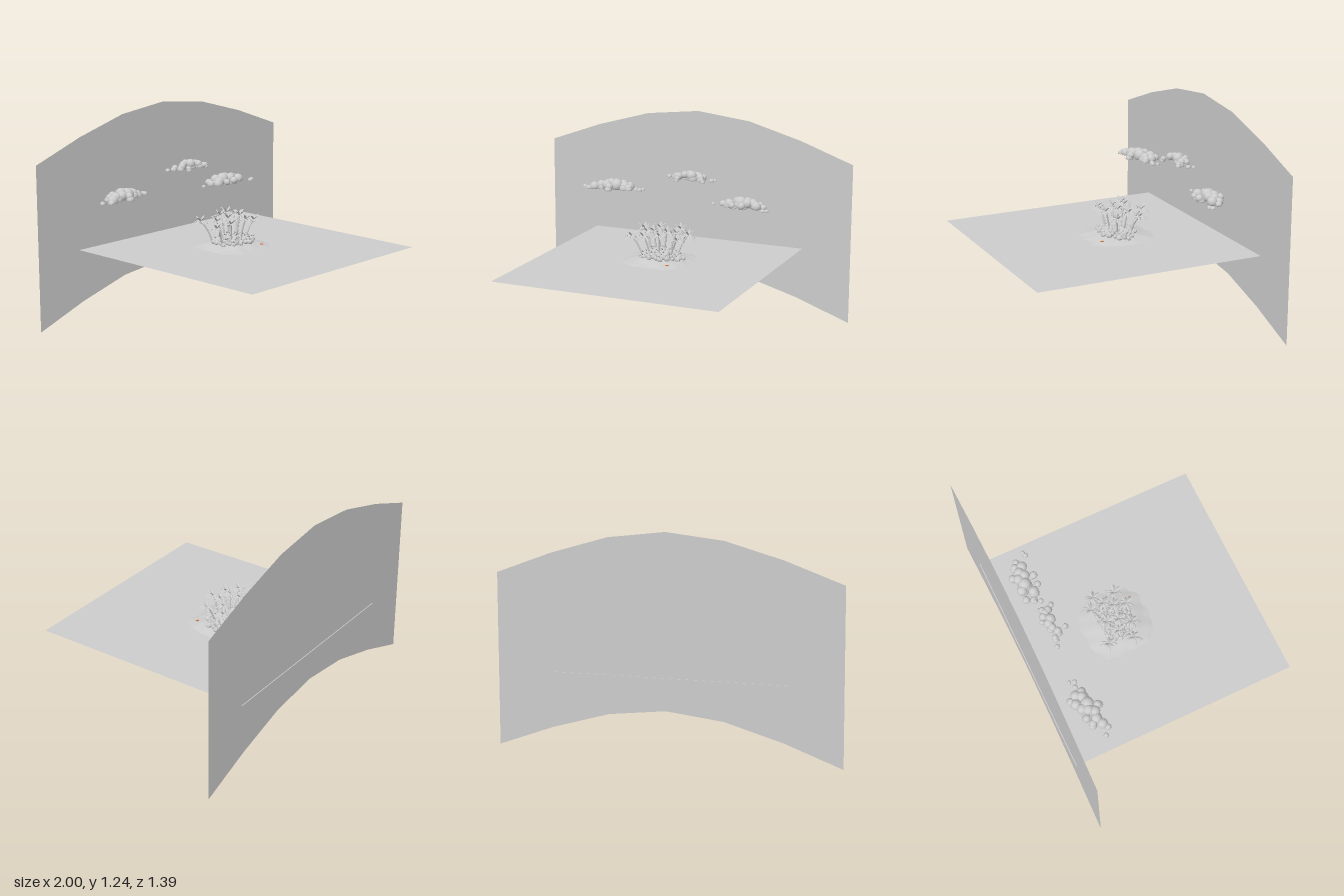
import * as THREE from 'three';
import { mergeGeometries } from 'three/addons/utils/BufferGeometryUtils.js';

const grey = new THREE.MeshStandardMaterial({ color: 0xcccccc, flatShading: true });
const sheet = new THREE.MeshStandardMaterial({ color: 0xcccccc, side: THREE.DoubleSide });
const leafy = new THREE.MeshStandardMaterial({ color: 0xcccccc, side: THREE.DoubleSide, flatShading: true });
const orange = new THREE.MeshStandardMaterial({ color: 0xe07030 });

let seed = 7;
const rand = (a = 0, b = 1) => {
  seed = (seed * 16807) % 2147483647;
  return a + (b - a) * seed / 2147483647;
};

function part(name, geometry, material, parent) {
  const m = new THREE.Mesh(geometry, material);
  m.name = name;
  parent.add(m);
  return m;
}

// Moves every vertex through a rule
function reshape(geo, rule) {
  const p = geo.attributes.position, v = new THREE.Vector3();
  for (let i = 0; i < p.count; i++) {
    rule(v.fromBufferAttribute(p, i));
    p.setXYZ(i, v.x, v.y, v.z);
  }
  geo.computeVertexNormals();
  return geo;
}

// Island height: a rounded-square mound on a nearly flat skirt
const CX = 0.0, CZ = -0.115;
function ground(x, z) {
  const d = Math.pow(Math.abs(x - CX) ** 3 + Math.abs(z - CZ) ** 3, 1 / 3);
  const t = Math.max(0, 1 - d / 0.27);
  const ripple = 0.0012 * (Math.sin(x * 61 + z * 23) + Math.sin(z * 71 - x * 37));
  return 0.429 + 0.048 * t * t * (3 - 2 * t) + ripple;
}

// One drooping, folded palm leaf pointing along +z
function frond(length, width, rise, droop) {
  const g = new THREE.PlaneGeometry(1, 1, 2, 5).rotateX(Math.PI / 2);
  return reshape(g, v => {
    const t = v.z + 0.5, side = v.x * 2;
    const w = width * Math.pow(Math.sin(Math.PI * (0.08 + 0.9 * t)), 0.8);
    v.set(side * w / 2, rise * t - droop * t * t - Math.abs(side) * w * 0.3, length * t);
  });
}

// A ring of leaves merged into one geometry
function leafRing(count, size) {
  const leaves = [];
  for (let i = 0; i < count; i++) {
    const inner = i % 3 === 0;
    const leaf = frond(size * rand(0.85, 1.1) * (inner ? 0.75 : 1), size * 0.27,
      size * (inner ? 1.1 : rand(0.4, 0.75)), size * (inner ? 0.5 : rand(0.8, 1.2)));
    leaves.push(leaf.rotateY(i / count * Math.PI * 2 + rand(-0.2, 0.2)));
  }
  return mergeGeometries(leaves);
}

// Leaning palm: curved trunk, crown and coconuts
function palm(x, z, y, parent) {
  const g = new THREE.Group();
  g.name = 'palmTree';
  const bx = CX + (x - CX) * 0.62, bz = CZ + (z - CZ) * 0.62;
  const foot = new THREE.Vector3(bx, ground(bx, bz) - 0.005, bz);
  const top = new THREE.Vector3(x, y, z);
  const bend = new THREE.Vector3((bx * 2 + x) / 3, (foot.y + y * 2) / 3, (bz * 2 + z) / 3);
  const curve = new THREE.QuadraticBezierCurve3(foot, bend, top);
  part('trunk', new THREE.TubeGeometry(curve, 8, 0.0048, 6), grey, g);
  part('crown', leafRing(11, 0.052), leafy, g).position.copy(top);
  const nuts = [0, 1, 2].map(i => new THREE.IcosahedronGeometry(0.005, 1)
    .translate(0.006 * Math.cos(i * 2.1), -0.005, 0.006 * Math.sin(i * 2.1)));
  part('coconuts', mergeGeometries(nuts), grey, g).position.copy(top);
  parent.add(g);
}

// Cloud of faceted puffs cut flat underneath; puffs are [x, z, radius] in hundredths
function cloud(puffs, cx, cz, base, height, parent) {
  const balls = [];
  const addBall = (x, y, z, r) => {
    const g = new THREE.IcosahedronGeometry(r, 2).translate(x, y, z);
    balls.push(reshape(g, v => { v.y = Math.max(v.y, base); }));
  };
  for (const [px, pz, pr] of puffs) {
    const x = px / 100, z = pz / 100, r = pr / 130;
    const near = Math.max(0, 1 - Math.hypot((x - cx) / 0.15, (z - cz) / 0.12));
    const lift = near * (height - r);
    addBall(x, base + lift + r * 0.15, z, r);
    if (lift > r * 0.4) addBall(x + rand(-0.01, 0.01), base + r * 0.2, z + rand(-0.01, 0.01), r);
  }
  part('cloud', mergeGeometries(balls), grey, parent);
}

export function createModel() {
  const root = new THREE.Group();
  root.name = 'islandDiorama';

  // Arched flat sky panel
  const arch = [[-1, 0.985], [-0.67, 1.105], [-0.335, 1.2], [0, 1.238], [0.335, 1.2], [0.67, 1.105], [1, 0.985]];
  const outline = [...arch, ...arch.map(([x, y]) => [x, y - 0.985]).reverse()];
  const sky = new THREE.Shape(outline.map(([x, y]) => new THREE.Vector2(x, y)));
  part('skyBackdrop', new THREE.ShapeGeometry(sky), sheet, root).position.z = -0.69;

  // Sea
  const sea = part('sea', new THREE.PlaneGeometry(1.39, 1.39).rotateX(-Math.PI / 2), sheet, root);
  sea.position.y = 0.4365;

  // Sandy island sheet
  const sand = new THREE.PlaneGeometry(0.61, 0.61, 36, 36).rotateX(-Math.PI / 2).translate(0.005, 0, -0.105);
  part('sandIsland', reshape(sand, v => { v.y = ground(v.x, v.z); }), sheet, root);

  // Undergrowth: round shrubs and leafy ferns
  const undergrowth = new THREE.Group();
  undergrowth.name = 'undergrowth';
  const shrubs = [], ferns = [];
  for (let i = 0; i < 70; i++) {
    const a = i * 2.39996, k = Math.sqrt((i + 0.5) / 70);
    const x = 0.01 + 0.135 * k * Math.cos(a), z = -0.11 + 0.105 * k * Math.sin(a);
    const r = rand(0.011, 0.018), y = ground(x, z) + 0.016 * (1 - k);
    const shrub = new THREE.IcosahedronGeometry(r, 1);
    shrubs.push(reshape(shrub, v => {
      v.multiplyScalar(1 + 0.15 * Math.sin(v.x * 400 + i) * Math.cos(v.z * 350));
    }).translate(x, y + r * 0.4, z));
    if (i % 3 === 0) ferns.push(leafRing(7, 0.03).translate(x, y + r, z));
  }
  part('shrubs', mergeGeometries(shrubs), grey, undergrowth);
  part('ferns', mergeGeometries(ferns), leafy, undergrowth);
  root.add(undergrowth);

  // Palms as [x, z, crown height]
  const palms = [
    [-0.15, -0.225, 0.59], [0.08, -0.235, 0.605], [0.15, -0.19, 0.585], [-0.17, -0.075, 0.575],
    [0.13, -0.06, 0.58], [-0.03, -0.18, 0.615], [-0.08, -0.045, 0.59], [0.05, -0.1, 0.615],
    [0.03, -0.03, 0.605], [-0.04, -0.11, 0.61], [0.09, -0.15, 0.6], [-0.1, -0.14, 0.595],
  ];
  for (const [x, z, y] of palms) palm(x, z, y, root);

  // Little starfish on the beach
  const star = new THREE.Shape(Array.from({ length: 10 }, (_, i) => {
    const r = i % 2 ? 0.004 : 0.012, a = i * Math.PI / 5;
    return new THREE.Vector2(r * Math.sin(a), r * Math.cos(a));
  }));
  const starGeo = new THREE.ExtrudeGeometry(star, { depth: 0.003, bevelEnabled: false }).rotateX(-Math.PI / 2);
  part('starfish', starGeo, orange, root).position.set(0.105, ground(0.105, 0.028) + 0.002, 0.028);

  // Clouds
  cloud([[-68, -49, 2], [-64, -46, 2.5], [-61, -48, 4], [-59, -53, 3], [-55, -55, 3], [-53, -49, 4],
    [-49, -55, 4], [-50, -46, 3], [-47, -51, 5], [-45, -57, 4], [-42, -59, 3], [-42, -52, 4],
    [-40, -55, 4], [-39, -51, 3], [-35, -53, 2], [-32, -52, 2], [-31, -55, 1.6], [-51, -52, 4],
    [-57, -50, 4]], -0.5, -0.52, 0.738, 0.062, root);
  cloud([[-12, -53, 2], [-7, -52, 2.5], [-4, -49, 3], [-3, -44, 2], [-1, -51, 3], [2, -52, 3.5],
    [4, -50, 4], [7, -53, 3], [9, -51, 3], [11, -52, 2.5], [12, -46, 2], [10, -49, 3],
    [17, -50, 2], [18, -53, 1.6], [4, -55, 2]], 0.03, -0.505, 0.845, 0.055, root);
  cloud([[17.5, -52, 1.6], [24, -52, 3], [29, -50, 4], [32, -56, 4], [35, -53, 5], [39, -55, 4],
    [40, -51, 4], [38, -46, 3], [43, -53, 4], [46, -50, 4], [47, -54, 3], [50, -52, 2.5],
    [41, -58, 3], [32, -46, 2.5], [52, -45, 2], [54, -46, 2], [26, -56, 3]], 0.37, -0.525, 0.703, 0.06, root);

  return root;
}
